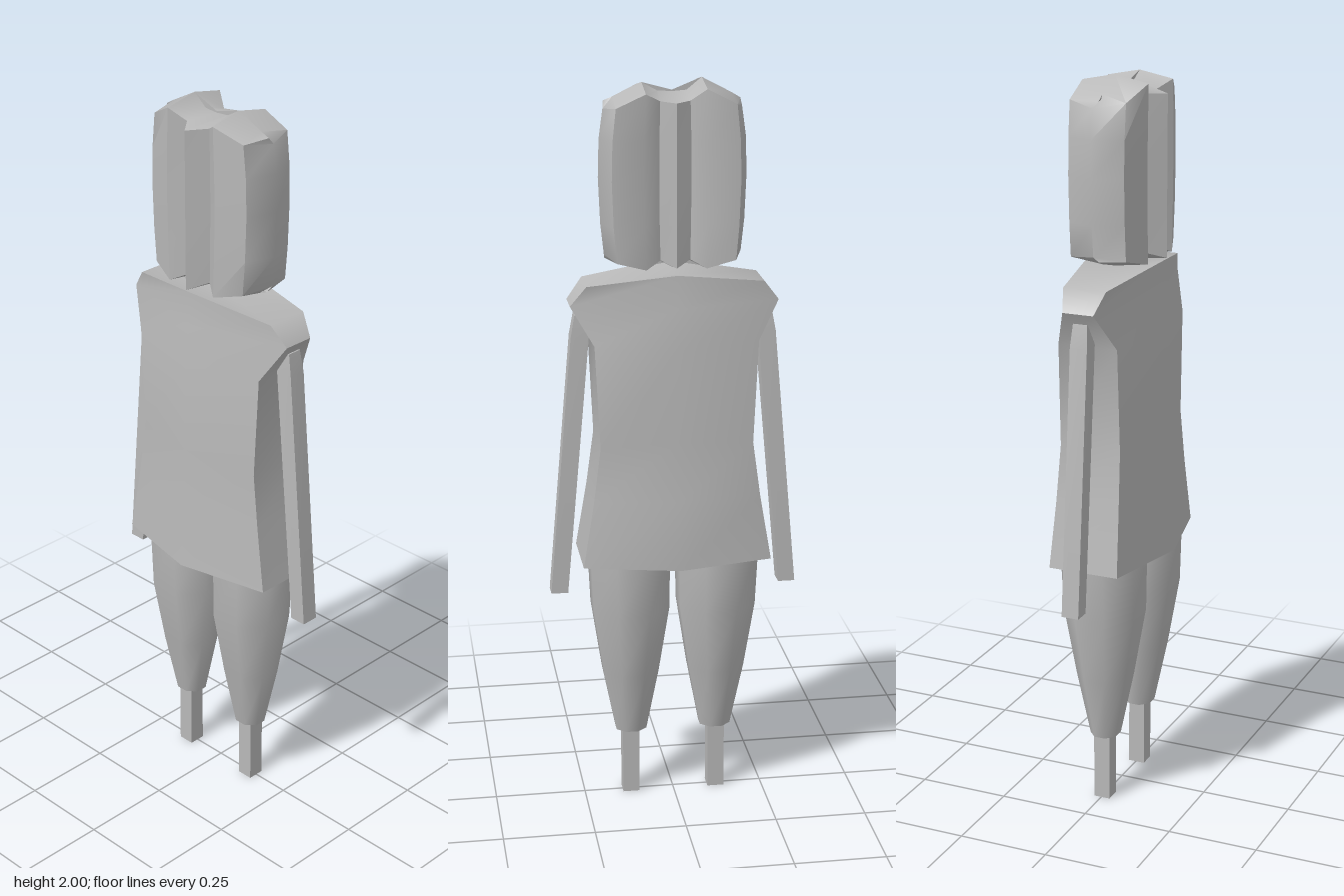
import * as THREE from 'three';
import { toCreasedNormals } from 'three/addons/utils/BufferGeometryUtils.js';

const grey = new THREE.MeshStandardMaterial({ color: 0xb8b8b8 });
grey.name = 'plain grey';

// Skin closed rings (front left to right, then back), stacked bottom to top, with fan caps
function loft(name, rings, crease = 0.9) {
  const n = rings[0].length, pos = [], index = [];
  rings.forEach((r) => r.forEach((p) => pos.push(...p)));
  for (let j = 0; j < rings.length - 1; j++) {
    for (let i = 0; i < n; i++) {
      const k = (i + 1) % n, a = j * n + i, b = j * n + k;
      index.push(a, b, b + n, a, b + n, a + n);
    }
  }
  const cap = (ring, base, up) => {
    const c = pos.length / 3;
    pos.push(...[0, 1, 2].map((d) => ring.reduce((s, p) => s + p[d], 0) / n));
    for (let i = 0; i < n; i++) {
      const a = base + i, b = base + (i + 1) % n;
      index.push(c, up ? a : b, up ? b : a);
    }
  };
  cap(rings[0], 0, false);
  cap(rings[rings.length - 1], (rings.length - 1) * n, true);
  const geo = new THREE.BufferGeometry();
  geo.setAttribute('position', new THREE.Float32BufferAttribute(pos, 3));
  geo.setIndex(index);
  const mesh = new THREE.Mesh(toCreasedNormals(geo, crease), grey);
  mesh.name = name;
  return mesh;
}

// Regular ring with separate radii
const oval = (n, cx, y, cz, rx, rz) => Array.from({ length: n }, (_, i) => {
  const a = (i + 0.5) / n * Math.PI * 2, k = 1 / Math.cos(Math.PI / n);
  return [cx - Math.cos(a) * rx * k, y, cz + Math.sin(a) * rz * k];
});

function torso() {
  // half width, side height, side depth, centre height, front, back
  const rows = [
    [0.255, 0.71, 0.098, 0.71, 0.154, 0.155],
    [0.225, 0.89, 0.09, 0.9, 0.142, 0.146],
    [0.205, 1.04, 0.085, 1.06, 0.136, 0.12],
    [0.218, 1.32, 0.083, 1.31, 0.133, 0.128],
    [0.277, 1.42, 0.043, 1.42, 0.12, 0.112],
    [0.235, 1.475, 0.06, 1.505, 0.108, 0.095],
  ];
  return loft('torso', rows.map(([w, ys, zs, yc, zf, zb]) => [
    [-w, ys, zs], [0, yc, zf], [w, ys, zs], [w, ys, -zs], [0, yc, -zb], [-w, ys, -zs],
  ]));
}

function head() {
  // per column: x, front z, back z, top ridge height, bottom ridge height
  const cols = [
    [-0.195, 0.0, 0.0, 1.945, 1.535], [-0.168, 0.08, -0.075, 1.96, 1.525],
    [-0.085, 0.108, -0.075, 2.0, 1.505], [-0.042, 0.08, -0.05, 1.968, 1.525],
    [0, 0.127, -0.074, 1.965, 1.507], [0.042, 0.08, -0.05, 1.968, 1.525],
    [0.085, 0.108, -0.075, 1.99, 1.505], [0.168, 0.08, -0.075, 1.955, 1.525],
    [0.195, 0.0, 0.0, 1.945, 1.535],
  ];
  const ring = (scale, height, flat) => {
    const at = (c, z) => [c[0] * scale, height(c), flat ? 0.015 : z];
    return [...cols.map((c) => at(c, c[1])),
      ...cols.slice(1, -1).reverse().map((c) => at(c, c[2]))];
  };
  return loft('head', [
    ring(0.92, (c) => c[4], true),
    ring(0.93, (c) => c[4] + 0.012),
    ring(0.975, () => 1.63),
    ring(1, () => 1.75),
    ring(0.985, () => 1.85),
    ring(0.93, (c) => c[3] - 0.018),
    ring(0.92, (c) => c[3], true),
  ]);
}

export function createModel() {
  const model = new THREE.Group();
  model.name = 'figure';
  model.add(torso(), head());

  for (const [side, s] of [['left', 1], ['right', -1]]) {
    // Tapered trouser leg
    model.add(loft(side + 'Leg', [
      oval(8, s * 0.118, 0.19, 0.003, 0.042, 0.038),
      oval(8, s * 0.119, 0.37, 0.003, 0.076, 0.072),
      oval(8, s * 0.119, 0.56, 0.002, 0.104, 0.103),
      oval(8, s * 0.122, 0.74, 0, 0.109, 0.108),
    ]));
    // Thin square shin
    const shin = new THREE.Mesh(new THREE.BoxGeometry(0.046, 0.22, 0.046), grey);
    shin.name = side + 'Shin';
    shin.position.set(s * 0.12, 0.11, 0.002);
    model.add(shin);
    // Straight arm hanging outwards from the shoulder
    model.add(loft(side + 'Arm', [
      oval(4, s * 0.314, 0.613, 0, 0.023, 0.024),
      oval(4, s * 0.25, 1.33, 0, 0.024, 0.024),
      oval(4, s * 0.245, 1.39, 0, 0.018, 0.02),
    ]));
  }
  return model;
}
